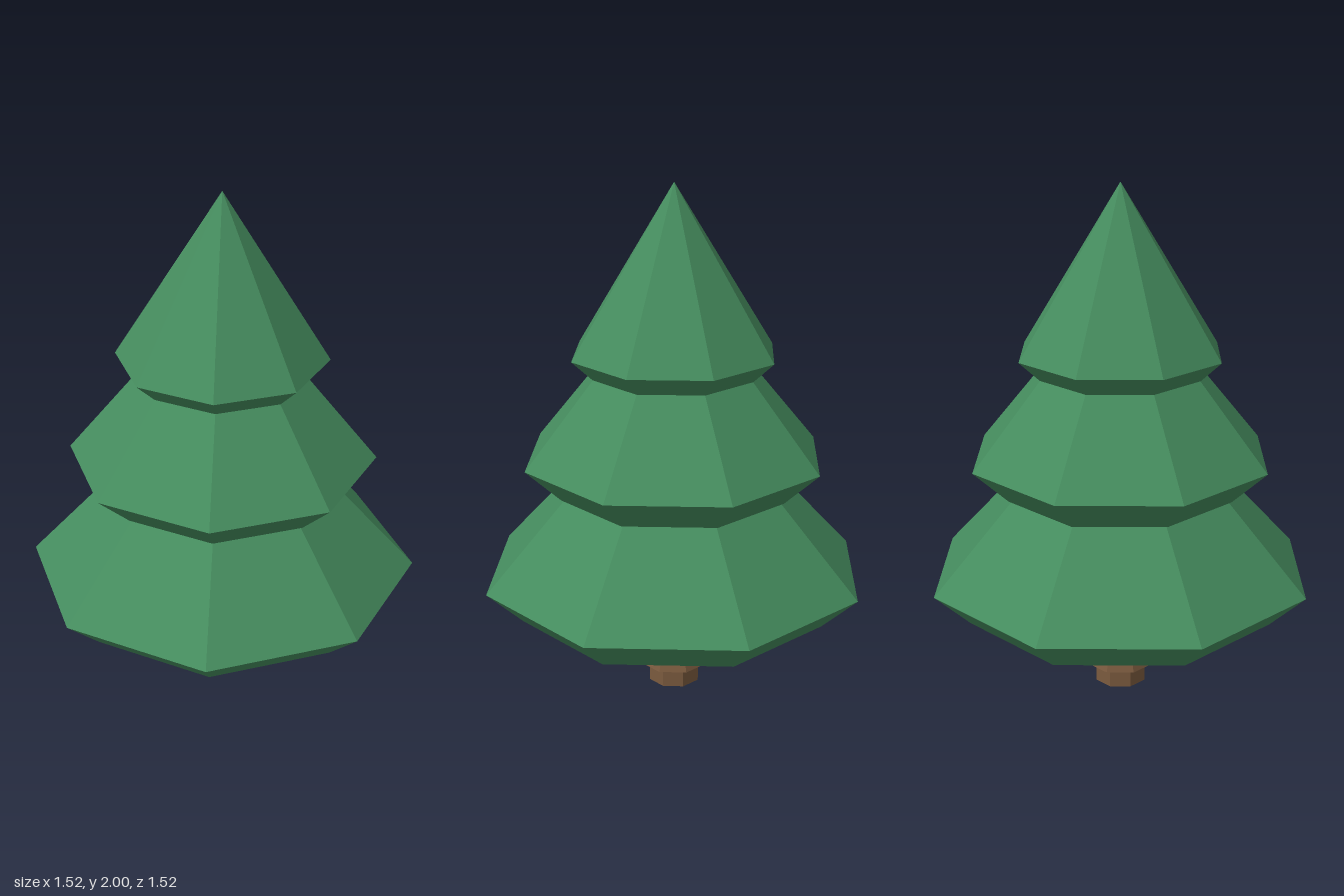
import * as THREE from 'three';

const SIDES = 8;

// Faceted solid of revolution from [radius, height] pairs, listed bottom to top
function turned(name, profile, material) {
  const points = profile.map(([r, y]) => new THREE.Vector2(r, y));
  const mesh = new THREE.Mesh(new THREE.LatheGeometry(points, SIDES), material);
  mesh.name = name;
  return mesh;
}

export function createModel() {
  const tree = new THREE.Group();
  tree.name = 'pineTree';

  const leaf = new THREE.MeshStandardMaterial({ color: 0x458c5e, flatShading: true });
  const bark = new THREE.MeshStandardMaterial({ color: 0x7a5a3e, flatShading: true });

  // Trunk with two flared bark collars
  tree.add(turned('trunk', [
    [0, 0], [0.105, 0], [0.105, 0.08],
    [0.14, 0.08], [0.105, 0.18], [0.105, 0.25],
    [0.14, 0.25], [0.105, 0.352], [0, 0.352],
  ], bark));

  // Foliage tiers: undercut skirt below, sloping roof above
  tree.add(turned('lowerFoliage', [[0, 0.348], [0.62, 0.348], [0.76, 0.48], [0.44, 0.826], [0, 0.826]], leaf));
  tree.add(turned('middleFoliage', [[0, 0.825], [0.455, 0.825], [0.593, 0.956], [0.32, 1.286], [0, 1.286]], leaf));
  tree.add(turned('topFoliage', [[0, 1.285], [0.322, 1.285], [0.403, 1.362], [0, 2]], leaf));

  return tree;
}
